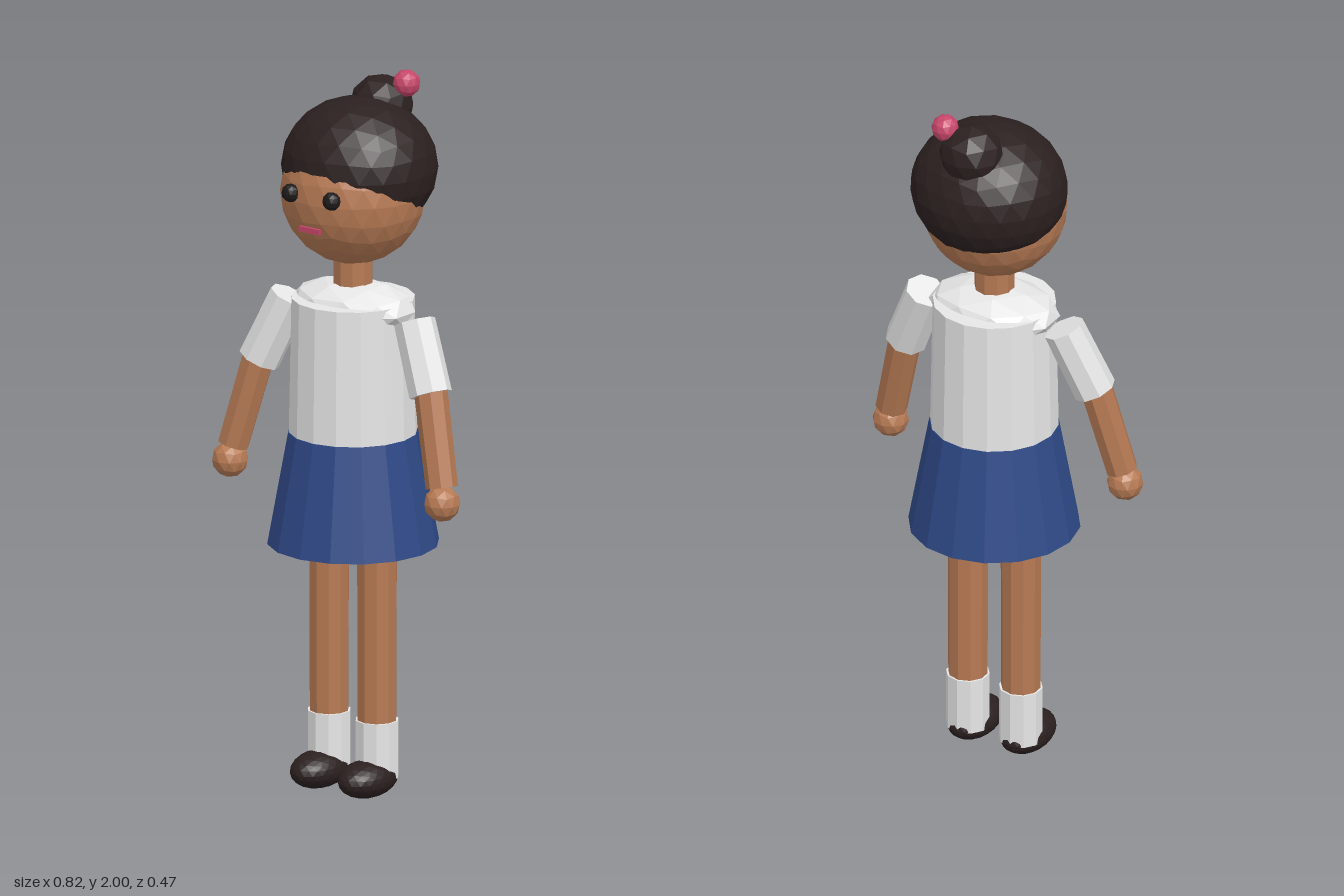
import * as THREE from 'three';

const paint = (name, color) => {
  const m = new THREE.MeshStandardMaterial({ color });
  m.name = name;
  return m;
};

// Faceted normals: one per triangle
const faceted = (geo) => {
  const g = geo.index ? geo.toNonIndexed() : geo;
  g.computeVertexNormals();
  return g;
};

export function createModel() {
  const skin = paint('skin', 0xb67a54);
  const dark = paint('dark brown', 0x2c2020);
  const black = paint('eye black', 0x1e1a1a);
  const white = paint('white cloth', 0xe6e6e6);
  const blue = paint('blue cloth', 0x2f4a88);
  const pink = paint('pink', 0xc6466a);

  const model = new THREE.Group();
  model.name = 'girlDoll';

  const add = (name, geo, mat, parent = model) => {
    const mesh = new THREE.Mesh(faceted(geo), mat);
    mesh.name = name;
    parent.add(mesh);
    return mesh;
  };

  // Icosphere with a vertex at the top, scaled to radii r and centred at c
  const ball = (name, r, c, mat, detail = 1, parent = model) => {
    const geo = new THREE.IcosahedronGeometry(1, detail);
    geo.rotateZ(Math.atan(2 / (1 + Math.sqrt(5))));
    geo.scale(...r).translate(...c);
    return add(name, geo, mat, parent);
  };

  // Tapered cylinder from point a (radius ra) to point b (radius rb)
  const limb = (name, a, b, ra, rb, sides, mat, parent = model) => {
    const from = new THREE.Vector3(...a);
    const to = new THREE.Vector3(...b);
    const dir = to.clone().sub(from);
    const geo = new THREE.CylinderGeometry(rb, ra, dir.length(), sides);
    const mesh = add(name, geo, mat, parent);
    mesh.position.copy(from).add(to).multiplyScalar(0.5);
    mesh.quaternion.setFromUnitVectors(new THREE.Vector3(0, 1, 0), dir.normalize());
    return mesh;
  };

  // Head and hair
  const head = new THREE.Group();
  head.name = 'headGroup';
  model.add(head);
  ball('head', [0.2, 0.2, 0.193], [0, 1.68, 0], skin, 3, head);
  ball('hair', [0.217, 0.19, 0.206], [0, 1.745, -0.029], dark, 3, head);
  ball('hairBun', [0.09, 0.085, 0.086], [0, 1.893, -0.126], dark, 1, head);
  ball('hairBobble', [0.038, 0.038, 0.038], [0.072, 1.962, -0.143], pink, 1, head);
  for (const s of [1, -1]) {
    ball(s > 0 ? 'leftEye' : 'rightEye', [0.026, 0.026, 0.024], [s * 0.07, 1.702, 0.185], black, 1, head);
  }
  add('mouth', new THREE.BoxGeometry(0.07, 0.015, 0.009), pink, head).position.set(0, 1.61, 0.191);

  // Torso
  limb('neck', [0, 1.36, 0], [0, 1.53, 0], 0.055, 0.055, 10, skin);
  limb('shirt', [0, 1.005, 0], [0, 1.383, 0], 0.175, 0.168, 16, white);
  ball('shoulderYoke', [0.19, 0.072, 0.135], [0, 1.36, 0], white, 1);
  limb('skirt', [0, 0.695, 0], [0, 1.007, 0], 0.234, 0.177, 16, blue);

  // Arms and legs, mirrored
  for (const s of [1, -1]) {
    const side = s > 0 ? 'left' : 'right';
    const arm = new THREE.Group();
    arm.name = side + 'Arm';
    model.add(arm);
    limb('sleeve', [s * 0.213, 1.35, 0.003], [s * 0.293, 1.165, 0.035], 0.057, 0.059, 8, white, arm);
    limb('forearm', [s * 0.288, 1.2, 0.033], [s * 0.357, 0.922, 0.068], 0.046, 0.044, 8, skin, arm);
    ball('hand', [0.05, 0.05, 0.05], [s * 0.363, 0.88, 0.075], skin, 1, arm);

    const leg = new THREE.Group();
    leg.name = side + 'Leg';
    model.add(leg);
    const x = s * 0.082;
    limb('leg', [x, 0.15, 0], [x, 0.72, 0], 0.054, 0.056, 10, skin, leg);
    limb('sock', [x, 0.05, 0], [x, 0.21, 0], 0.06, 0.06, 10, white, leg);
    ball('shoe', [0.067, 0.052, 0.102], [x, 0.053, 0.04], dark, 3, leg);
  }
  return model;
}
